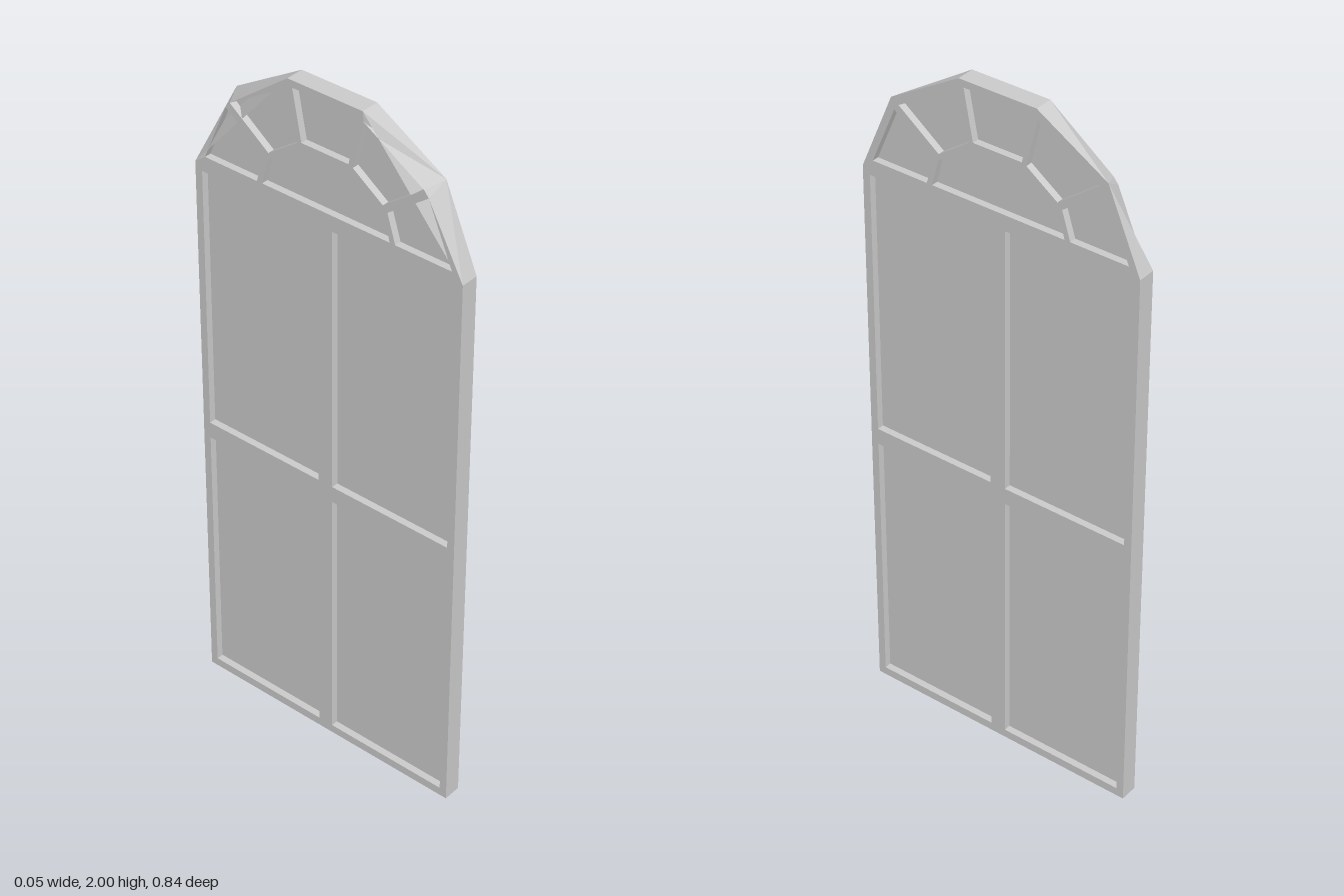
import * as THREE from 'three';

const DEPTH = 0.052;
const GLASS = 0.012;

export function createModel() {
  const group = new THREE.Group();
  group.name = 'archedWindow';
  const material = new THREE.MeshStandardMaterial({ color: 0xcccccc, flatShading: true, side: THREE.DoubleSide });

  const toPoints = (list) => list.map(([z, y]) => new THREE.Vector2(z, y));
  const mirror = (list) => list.map(([z, y]) => [-z, y]).reverse();

  // Extrudes a [z, y] outline into a slab standing in the x = 0 plane
  function slab(shape, depth) {
    const geometry = new THREE.ExtrudeGeometry(shape, { depth, bevelEnabled: false });
    geometry.translate(0, 0, -depth / 2);
    geometry.rotateY(-Math.PI / 2);
    return geometry;
  }
  function add(name, geometry) {
    const mesh = new THREE.Mesh(geometry, material);
    mesh.name = name;
    group.add(mesh);
  }

  // Outline of the frame: straight sides and a five-sided arch
  const [foot, spring, shoulder, crown] = [[0.42, 0], [0.42, 1.65], [0.323, 1.877], [0.115, 2]];
  const half = [foot, spring, shoulder, crown];
  const frame = new THREE.Shape(toPoints([...half, ...mirror(half)]));

  // Pane openings on one side, then mirrored
  const rect = (y0, y1) => [[0.023, y0], [0.398, y0], [0.398, y1], [0.023, y1]];
  const sidePanes = [
    rect(0.025, 0.803),
    rect(0.852, 1.63),
    [[0.217, 1.675], [0.387, 1.675], [0.314, 1.845], [0.192, 1.755]],
    [[0.178, 1.77], [0.3, 1.862], [0.118, 1.972], [0.086, 1.835]],
  ];
  const fanHalf = [[0.2, 1.675], [0.18, 1.752], [0.073, 1.826]];
  const topHalf = [[0.073, 1.84], [0.1, 1.98]];
  const panes = [
    ...sidePanes,
    ...sidePanes.map(mirror),
    [...fanHalf, ...mirror(fanHalf)],
    [...topHalf, ...mirror(topHalf)],
  ];
  for (const pane of panes) frame.holes.push(new THREE.Path(toPoints(pane)));

  // Frame, with the back shoulder corners pulled forward to cut them off
  const frameGeometry = slab(frame, DEPTH);
  const pos = frameGeometry.attributes.position;
  for (let i = 0; i < pos.count; i++) {
    const atShoulder = Math.hypot(Math.abs(pos.getZ(i)) - shoulder[0], pos.getY(i) - shoulder[1]) < 0.001;
    if (atShoulder) pos.setX(i, DEPTH / 2);
  }
  frameGeometry.computeVertexNormals();
  add('frame', frameGeometry);

  // Slanted faces across the cut shoulders
  for (const side of [1, -1]) {
    const corners = [[crown, -1], [shoulder, 1], [spring, -1]].map(
      ([[z, y], x]) => new THREE.Vector3((x * DEPTH) / 2, y, z * side));
    if (side < 0) corners.reverse();
    const geometry = new THREE.BufferGeometry().setFromPoints(corners);
    geometry.computeVertexNormals();
    add(side > 0 ? 'frontShoulder' : 'backShoulder', geometry);
  }

  // Glass set back in each opening
  panes.forEach((pane, i) => add(`pane${i + 1}`, slab(new THREE.Shape(toPoints(pane)), GLASS)));

  return group;
}
